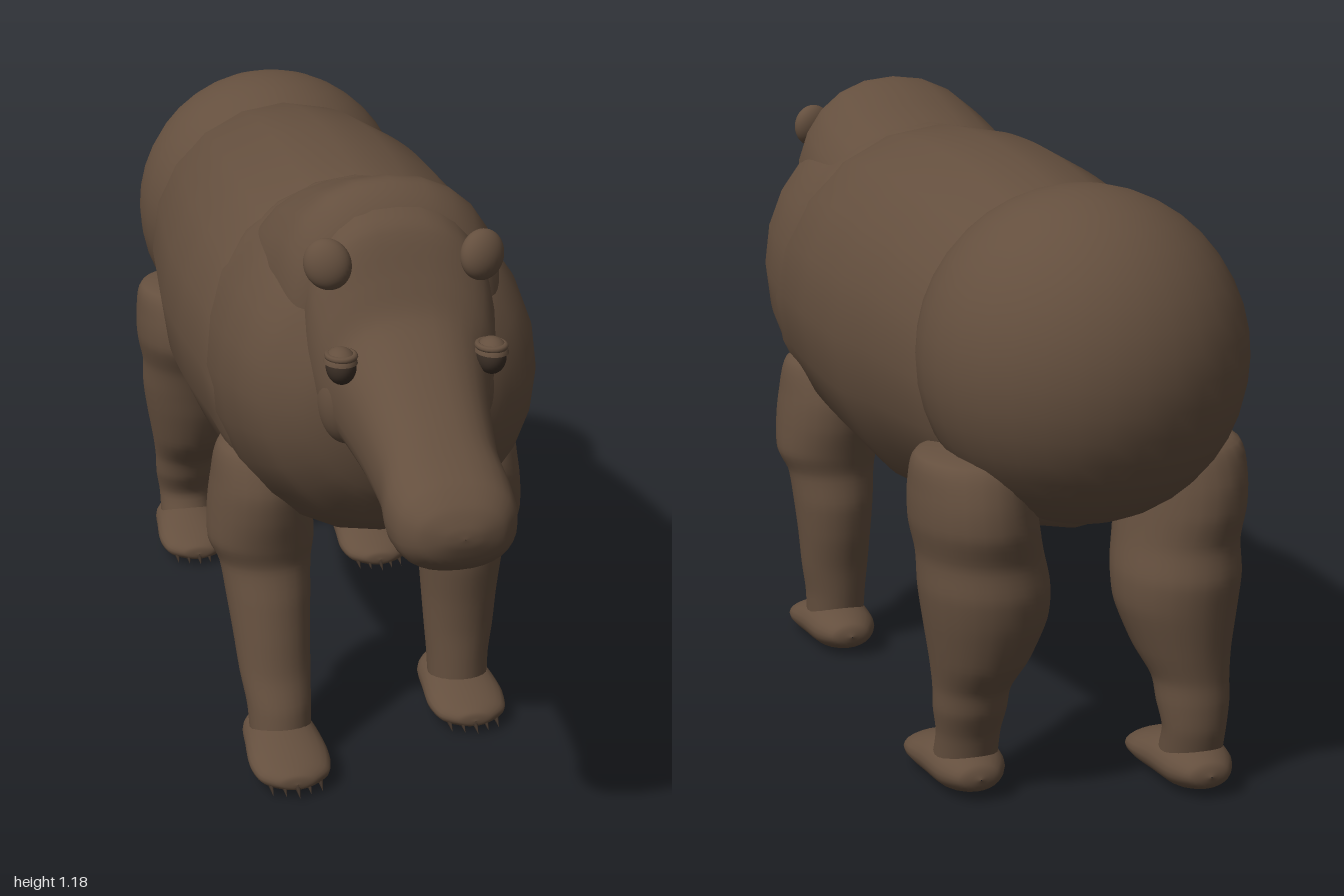
import * as THREE from 'three';

const hide = new THREE.MeshStandardMaterial({ name: 'brown hide', color: 0x644f3e });
const dark = new THREE.MeshStandardMaterial({ name: 'dark claw and eye', color: 0x3a2e25 });

// Smooth skin over elliptical sections [x, y, z, halfWidth, halfDepth].
// Sections run forward (+z), or downward (-y) when upright is true.
// A power below 1 makes the sections squarer.
function loft(sections, { upright = false, sides = 24, steps = 5, floor = -Infinity, power = 1 } = {}) {
  const centres = new THREE.CatmullRomCurve3(
    sections.map(s => new THREE.Vector3(s[0], s[1], s[2])), false, 'catmullrom', 0.4);
  const radii = new THREE.CatmullRomCurve3(
    sections.map(s => new THREE.Vector3(s[3], s[4], 0)), false, 'catmullrom', 0.4);
  const bend = t => Math.sign(t) * Math.abs(t) ** power;
  const rows = (sections.length - 1) * steps;
  const positions = [], index = [];
  for (let i = 0; i <= rows; i++) {
    const c = centres.getPoint(i / rows), r = radii.getPoint(i / rows);
    for (let j = 0; j < sides; j++) {
      const a = (j / sides) * Math.PI * 2;
      const u = bend(Math.cos(a)) * Math.max(r.x, 0.001), v = bend(Math.sin(a)) * Math.max(r.y, 0.001);
      positions.push(c.x + u, Math.max(floor, c.y + (upright ? 0 : v)), c.z + (upright ? v : 0));
      if (i < rows) {
        const k = (j + 1) % sides, p = i * sides, q = p + sides;
        index.push(p + j, p + k, q + j, p + k, q + k, q + j);
      }
    }
  }
  const g = new THREE.BufferGeometry();
  g.setAttribute('position', new THREE.Float32BufferAttribute(positions, 3));
  g.setIndex(index);
  g.computeVertexNormals();
  return g;
}

// Body section given as [z, top, bottom, halfWidth]
const slab = ([z, top, bottom, w]) => [0, (top + bottom) / 2, z, w, (top - bottom) / 2];

function add(parent, name, geometry, material = hide) {
  const m = new THREE.Mesh(geometry, material);
  m.name = name;
  parent.add(m);
  return m;
}

function ball(parent, name, pos, scale, material = hide) {
  const m = add(parent, name, new THREE.SphereGeometry(1, 32, 20), material);
  m.position.set(...pos);
  m.scale.set(...scale);
  return m;
}

// Foot with its toes and claws; z is the ankle position
function addFoot(parent, x, z) {
  const foot = new THREE.Group();
  foot.name = 'foot';
  foot.position.set(x, 0, z);
  parent.add(foot);
  add(foot, 'paw', loft([
    [0, 0.05, -0.13, 0.001, 0.001],
    [0, 0.05, -0.118, 0.04, 0.025],
    [0, 0.05, -0.07, 0.066, 0.042],
    [0, 0.05, 0, 0.074, 0.046],
    [0, 0.043, 0.07, 0.079, 0.037],
    [0, 0.036, 0.12, 0.068, 0.026],
    [0, 0.033, 0.147, 0.035, 0.015],
    [0, 0.031, 0.152, 0.001, 0.001],
  ], { floor: 0.004 }));
  for (let i = -2; i <= 2; i++) {
    const claw = add(foot, 'claw', new THREE.ConeGeometry(0.009, 0.045, 8), dark);
    claw.position.set(i * 0.024, 0.022, 0.152 - Math.abs(i) * 0.01);
    claw.rotation.x = Math.PI / 2 + 0.4;
  }
}

function addLeg(parent, name, side, footZ, sections) {
  const leg = new THREE.Group();
  leg.name = name;
  parent.add(leg);
  add(leg, 'limb', loft(sections.map(([x, y, z, w, d]) => [side * x, y, z, w, d]), { upright: true }));
  addFoot(leg, side * 0.2, footZ);
}

export function createModel() {
  const model = new THREE.Group();
  model.name = 'animal';

  // Long barrel of the trunk
  add(model, 'trunk', loft([
    [-0.78, 0.98, 0.6, 0.16], [-0.7, 1.05, 0.5, 0.25], [-0.59, 1.08, 0.47, 0.288],
    [-0.4, 1.115, 0.445, 0.31], [-0.2, 1.133, 0.415, 0.328], [0, 1.13, 0.428, 0.332],
    [0.17, 1.105, 0.438, 0.318], [0.32, 1.02, 0.46, 0.29], [0.42, 0.9, 0.6, 0.15],
  ].map(slab), { sides: 20 }));

  // Rounded hindquarters
  ball(model, 'rump', [0, 0.818, -0.702], [0.297, 0.303, 0.298]);

  // Deep chest
  add(model, 'chest', loft([
    [0.06, 0.95, 0.6, 0.15], [0.13, 1.1, 0.47, 0.29], [0.22, 1.115, 0.44, 0.308],
    [0.33, 1.12, 0.45, 0.305], [0.43, 1.1, 0.49, 0.287], [0.5, 1.05, 0.53, 0.255],
    [0.56, 0.97, 0.6, 0.19], [0.595, 0.9, 0.69, 0.11], [0.605, 0.8, 0.79, 0.001],
  ].map(slab)));

  // Crest rising from the shoulders to the crown
  add(model, 'neck crest', loft([
    [0.1, 1.07, 0.8, 0.12], [0.17, 1.112, 0.75, 0.215], [0.3, 1.148, 0.72, 0.23],
    [0.43, 1.18, 0.7, 0.215], [0.5, 1.13, 0.7, 0.19], [0.55, 1.0, 0.75, 0.12],
  ].map(slab), { power: 0.9 }));

  // Head tapering into a long bulbous snout
  const head = new THREE.Group();
  head.name = 'head';
  model.add(head);
  add(head, 'skull and snout', loft([
    [0.36, 1.08, 0.75, 0.14], [0.44, 1.15, 0.7, 0.172], [0.53, 1.12, 0.69, 0.176],
    [0.578, 1.035, 0.695, 0.165], [0.62, 0.968, 0.69, 0.144], [0.72, 0.905, 0.665, 0.121],
    [0.82, 0.845, 0.638, 0.109], [0.89, 0.805, 0.62, 0.114], [0.945, 0.782, 0.624, 0.106],
    [0.98, 0.752, 0.648, 0.078], [0.996, 0.722, 0.682, 0.035], [1, 0.703, 0.701, 0.001],
  ].map(slab), { power: 0.85, sides: 32 }));

  for (const s of [1, -1]) {
    const ear = ball(head, 'ear', [s * 0.142, 1.063, 0.56], [0.043, 0.047, 0.03]);
    ear.rotation.set(-0.2, s * 0.35, -s * 0.4);
    ball(head, 'cheek', [s * 0.11, 0.815, 0.57], [0.054, 0.088, 0.06]);

    // Eyeball under a heavy lid
    ball(head, 'eye', [s * 0.137, 0.902, 0.65], [0.027, 0.033, 0.035], dark);
    const lid = add(head, 'eyelid', new THREE.SphereGeometry(1, 20, 8, 0, Math.PI * 2, 0, Math.PI / 2.3));
    lid.position.set(s * 0.138, 0.903, 0.65);
    lid.scale.set(0.031, 0.034, 0.039);
    const brow = add(head, 'brow', new THREE.TorusGeometry(0.024, 0.006, 8, 20));
    brow.position.set(s * 0.137, 0.922, 0.65);
    brow.rotation.x = Math.PI / 2;
    brow.scale.y = 1.25;
  }

  // Walking forelegs: left one back, right one forward
  const foreShape = [
    [0.2, 0.66, 0.02, 0.04], [0.21, 0.62, 0.08, 0.1], [0.212, 0.55, 0.094, 0.128],
    [0.212, 0.49, 0.102, 0.125], [0.212, 0.43, 0.104, 0.105], [0.206, 0.385, 0.09, 0.086],
    [0.204, 0.32, 0.083, 0.086], [0.203, 0.25, 0.076, 0.077], [0.202, 0.18, 0.07, 0.067],
    [0.2, 0.12, 0.063, 0.064], [0.2, 0.06, 0.06, 0.062],
  ];
  const foreLeft = [0.24, 0.24, 0.24, 0.237, 0.23, 0.22, 0.212, 0.21, 0.214, 0.218, 0.222];
  const foreRight = [0.25, 0.25, 0.25, 0.25, 0.257, 0.268, 0.288, 0.315, 0.342, 0.37, 0.385];
  const place = (shape, zs) => shape.map(([x, y, w, d], i) => [x, y, zs[i], w, d]);
  addLeg(model, 'leftForeleg', 1, 0.22, place(foreShape, foreLeft));
  addLeg(model, 'rightForeleg', -1, 0.405, place(foreShape, foreRight));

  // Heavy-thighed hind legs: left one forward, right one back
  const hindShape = [
    [0.19, 0.67, 0.03, 0.04], [0.2, 0.65, 0.1, 0.125], [0.205, 0.59, 0.108, 0.152],
    [0.2, 0.53, 0.113, 0.157], [0.188, 0.47, 0.113, 0.14], [0.182, 0.41, 0.118, 0.136],
    [0.18, 0.35, 0.112, 0.124], [0.188, 0.27, 0.09, 0.1], [0.198, 0.215, 0.072, 0.074],
    [0.2, 0.17, 0.068, 0.066], [0.2, 0.12, 0.06, 0.054], [0.2, 0.06, 0.06, 0.06],
  ];
  const hindLeft = [-0.69, -0.69, -0.69, -0.69, -0.69, -0.697, -0.697, -0.69, -0.68, -0.675, -0.665, -0.645];
  const hindRight = [-0.69, -0.69, -0.69, -0.69, -0.7, -0.715, -0.722, -0.735, -0.755, -0.765, -0.775, -0.755];
  addLeg(model, 'leftHindleg', 1, -0.61, place(hindShape, hindLeft));
  addLeg(model, 'rightHindleg', -1, -0.73, place(hindShape, hindRight));

  return model;
}
